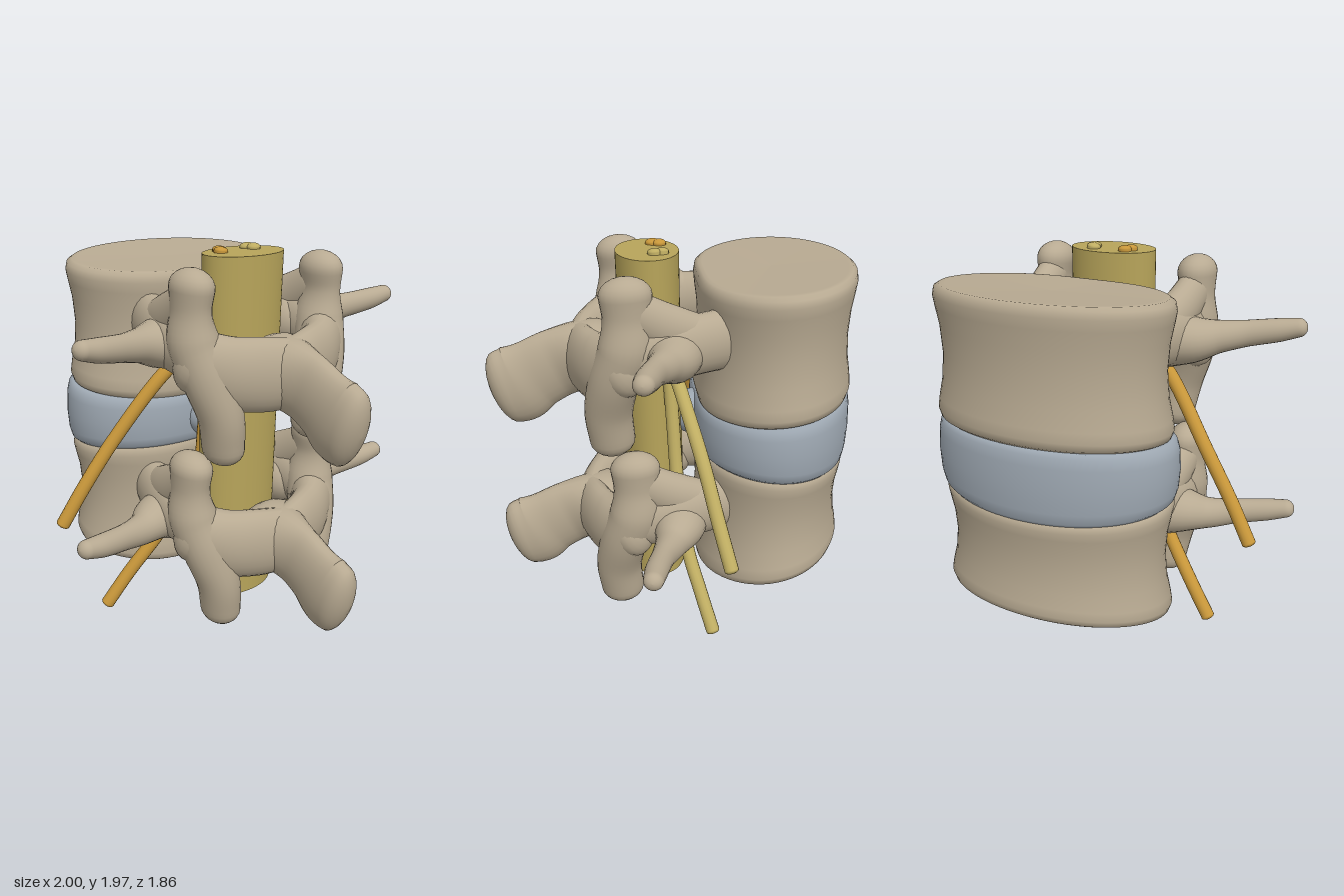
import * as THREE from 'three';

const mat = (name, color) => {
  const m = new THREE.MeshStandardMaterial({ color });
  m.name = name;
  return m;
};
const bone = mat('bone', 0xb8aa92);
const cartilage = mat('cartilage', 0x9ea8b2);
const cordTan = mat('cord tan', 0xb7a45a);
const nerveTan = mat('nerve tan', 0xbfad62);
const nerveGold = mat('nerve gold', 0xc8973a);

// Smooth closed skin over a list of rings that all have the same number of points
function skin(rings) {
  const n = rings[0].length, index = [];
  for (let i = 0; i < rings.length - 1; i++) {
    for (let j = 0; j < n; j++) {
      const a = i * n + j, b = i * n + (j + 1) % n;
      index.push(a, a + n, b, b, a + n, b + n);
    }
  }
  const g = new THREE.BufferGeometry().setFromPoints(rings.flat());
  g.setIndex(index);
  g.computeVertexNormals();
  return g;
}

function add(parent, name, geometry, material) {
  const mesh = new THREE.Mesh(geometry, material);
  mesh.name = name;
  parent.add(mesh);
  return mesh;
}

// Rounded limb through stations [x, y, z, half width, half height]
function limb(stations, { up = [0, 1, 0], steps = 28, sides = 24, cap = 0.9 } = {}) {
  const curve = new THREE.CatmullRomCurve3(stations.map(s => new THREE.Vector3(...s)));
  const radii = new THREE.CatmullRomCurve3(stations.map(s => new THREE.Vector3(s[3], s[4] ?? s[3], 0)));
  const upV = new THREE.Vector3(...up), rings = [];
  const ring = (t, scale, push) => {
    const p = curve.getPoint(t), r = radii.getPoint(t), tan = curve.getTangent(t);
    const side = tan.clone().cross(upV).normalize(), top = side.clone().cross(tan);
    p.addScaledVector(tan, push * cap * Math.min(r.x, r.y));
    rings.push(Array.from({ length: sides }, (_, j) => {
      const a = j / sides * Math.PI * 2;
      return p.clone().addScaledVector(side, Math.cos(a) * r.x * scale)
        .addScaledVector(top, Math.sin(a) * r.y * scale);
    }));
  };
  for (let k = 6; k > 0; k--) ring(0, Math.cos(k * Math.PI / 12), -Math.sin(k * Math.PI / 12));
  for (let i = 0; i <= steps; i++) ring(i / steps, 1, 0);
  for (let k = 1; k <= 6; k++) ring(1, Math.cos(k * Math.PI / 12), Math.sin(k * Math.PI / 12));
  return skin(rings);
}

// Oval drum with a flattened rear; low and high are [front end, canal end] heights
function drum(a, b, low, high, profile) {
  const sides = 72, L = THREE.MathUtils.lerp;
  return skin(profile.map(([t, s]) => Array.from({ length: sides }, (_, j) => {
    const q = j / sides * Math.PI * 2;
    const x = a * s * Math.cos(q);
    let z = b * s * Math.sin(q);
    if (z > 0) z *= 1 - 0.1 * Math.exp(-((x / 0.28) ** 2));
    const f = (z + b) / (2 * b);
    return new THREE.Vector3(x, L(L(low[0], low[1], f), L(high[0], high[1], f), t), z);
  })));
}

const bodyProfile = [[0.01, 0], [0, 0.86], [0, 0.93], [0.025, 0.98], [0.08, 1], [0.16, 0.985], [0.3, 0.95],
  [0.5, 0.93], [0.7, 0.945], [0.84, 0.975], [0.92, 0.99], [0.975, 0.975], [1, 0.93], [1, 0.88], [0.985, 0]];
const discProfile = [[0, 0], [0, 0.88], [0, 0.94], [0.06, 0.975], [0.2, 0.995], [0.5, 1.005],
  [0.8, 0.995], [0.94, 0.975], [1, 0.94], [1, 0.88], [1, 0]];

// Arch, wings and spine spur behind a vertebral body
function arch(parent, wingDrop, wingSpread) {
  for (const s of [1, -1]) {
    const side = s > 0 ? 'left' : 'right';
    const m = list => list.map(([x, ...rest]) => [x * s, ...rest]);
    add(parent, side + 'Pedicle', limb(m([
      [0.3, 1.6, -0.45, 0.1, 0.16], [0.375, 1.59, -0.25, 0.105, 0.155],
      [0.41, 1.57, -0.06, 0.115, 0.16], [0.41, 1.54, 0.12, 0.11, 0.15]])), bone);
    // Sloping web from the pedicle up to the joint column
    add(parent, side + 'PedicleWeb', limb(m([
      [0.37, 1.63, -0.24, 0.085, 0.1], [0.405, 1.68, -0.08, 0.09, 0.12], [0.425, 1.77, 0.09, 0.085, 0.11]])), bone);
    add(parent, side + 'TransverseWing', limb(m([
      [0.38, 1.55 - wingDrop / 2, -0.1, 0.17, 0.15], [0.5, 1.555 - wingDrop / 2, -0.085, 0.135, 0.12],
      [0.62, 1.575 - wingDrop, -0.04, 0.085, 0.085], [0.75 * wingSpread, 1.595 - wingDrop, 0.015, 0.06, 0.068],
      [0.9 * wingSpread, 1.62 - wingDrop, 0.06, 0.058, 0.06], [0.995 * wingSpread, 1.64 - wingDrop, 0.08, 0.05, 0.048]])), bone);
    add(parent, side + 'ArticularColumn', limb(m([
      [0.425, 1.86, 0.13, 0.1, 0.13], [0.43, 1.75, 0.125, 0.09, 0.12], [0.42, 1.59, 0.13, 0.125, 0.14],
      [0.38, 1.42, 0.19, 0.13, 0.13], [0.33, 1.22, 0.225, 0.112, 0.125], [0.305, 1.05, 0.21, 0.102, 0.12]]),
      { up: [0, 0, 1] }), bone);
    add(parent, side + 'Lamina', limb(m([
      [0.42, 1.5, 0.15, 0.12, 0.16], [0.29, 1.44, 0.255, 0.11, 0.185],
      [0.14, 1.42, 0.325, 0.1, 0.19], [0, 1.41, 0.36, 0.105, 0.18]])), bone);
  }
  add(parent, 'spinousSpur', limb([
    [0, 1.42, 0.28, 0.22, 0.18], [0, 1.4, 0.38, 0.15, 0.19], [0, 1.36, 0.5, 0.095, 0.195], [0, 1.31, 0.6, 0.09, 0.2],
    [0, 1.255, 0.7, 0.1, 0.225], [0, 1.235, 0.765, 0.1, 0.215]]), bone);
}

export function createModel() {
  const model = new THREE.Group();
  model.name = 'spineSegment';

  // Symmetric parts share a frame turned towards the model's left
  const spine = new THREE.Group();
  spine.name = 'spine';
  spine.rotation.y = 0.46;
  spine.position.set(0.02, 0, 0.15);
  model.add(spine);

  // Two vertebrae
  const levels = [
    { name: 'upperVertebra', low: [1.24, 1.16], high: [1.91, 1.85], x: 0, drop: 0, wing: 0, spread: 1, back: 0 },
    { name: 'lowerVertebra', low: [0.34, 0.18], high: [0.88, 0.92], x: -0.02, drop: 0.93, wing: 0.06, spread: 1.025, back: -0.03 },
  ];
  for (const v of levels) {
    const group = new THREE.Group();
    group.name = v.name;
    spine.add(group);
    add(group, 'vertebralBody', drum(0.62, 0.44, v.low, v.high, bodyProfile), bone)
      .position.set(v.x, 0, -0.65);
    const posterior = new THREE.Group();
    posterior.name = 'posteriorArch';
    posterior.position.set(0, -v.drop, v.back);
    arch(posterior, v.wing, v.spread);
    group.add(posterior);
  }

  // Disc with a bulge into the canal
  add(spine, 'disc', drum(0.64, 0.45, [0.865, 0.91], [1.245, 1.175], discProfile), cartilage)
    .position.set(-0.015, 0, -0.65);
  const bulge = add(spine, 'discBulge', new THREE.SphereGeometry(0.13, 32, 20), cartilage);
  bulge.scale.set(1.1, 0.95, 1.05);
  bulge.position.set(-0.03, 1.04, -0.25);

  // Oval cord, leaning slightly
  const cord = new THREE.CylinderGeometry(1, 1, 1.88, 48);
  cord.scale(0.233, 1, 0.165);
  const p = cord.attributes.position;
  for (let i = 0; i < p.count; i++) {
    const f = 0.5 - p.getY(i) / 1.88;
    p.setX(i, p.getX(i) - 0.035 * f);
    p.setZ(i, p.getZ(i) - 0.04 * f);
  }
  add(spine, 'spinalCord', cord, cordTan).position.y = 1.03;

  // Nerve roots run down within the cord and leave between the vertebrae
  const nerve = (name, material, r, points) =>
    add(model, name, limb(points.map(q => [...q, r]), { up: [0.2, 0, 1], steps: 48, sides: 14, cap: 0.5 }), material);
  nerve('upperLeftNerve', nerveTan, 0.036, [[0.09, 1.98, 0.08], [0.1, 1.7, 0.05], [0.17, 1.45, -0.04],
    [0.31, 1.28, -0.17], [0.48, 1.06, -0.33], [0.6, 0.8, -0.46], [0.69, 0.61, -0.56]]);
  nerve('lowerLeftNerve', nerveTan, 0.036, [[0.06, 1.98, 0.05], [0.1, 1.7, 0.03], [0.15, 1.4, -0.02],
    [0.19, 1.1, -0.06], [0.25, 0.78, -0.11], [0.36, 0.45, -0.21], [0.45, 0.25, -0.32], [0.53, 0.08, -0.42]]);
  nerve('upperRightNerve', nerveGold, 0.036, [[-0.1, 1.98, 0.17], [-0.12, 1.75, 0.16], [-0.2, 1.54, 0.17],
    [-0.41, 1.37, 0.2], [-0.68, 1.04, 0.22], [-0.85, 0.8, 0.25], [-0.97, 0.61, 0.27]]);
  nerve('lowerRightNerve', nerveGold, 0.036, [[-0.1, 1.98, 0.13], [-0.13, 1.5, 0.14], [-0.19, 1.1, 0.16],
    [-0.24, 0.78, 0.17], [-0.46, 0.46, 0.19], [-0.63, 0.25, 0.2], [-0.76, 0.08, 0.22]]);

  return model;
}
